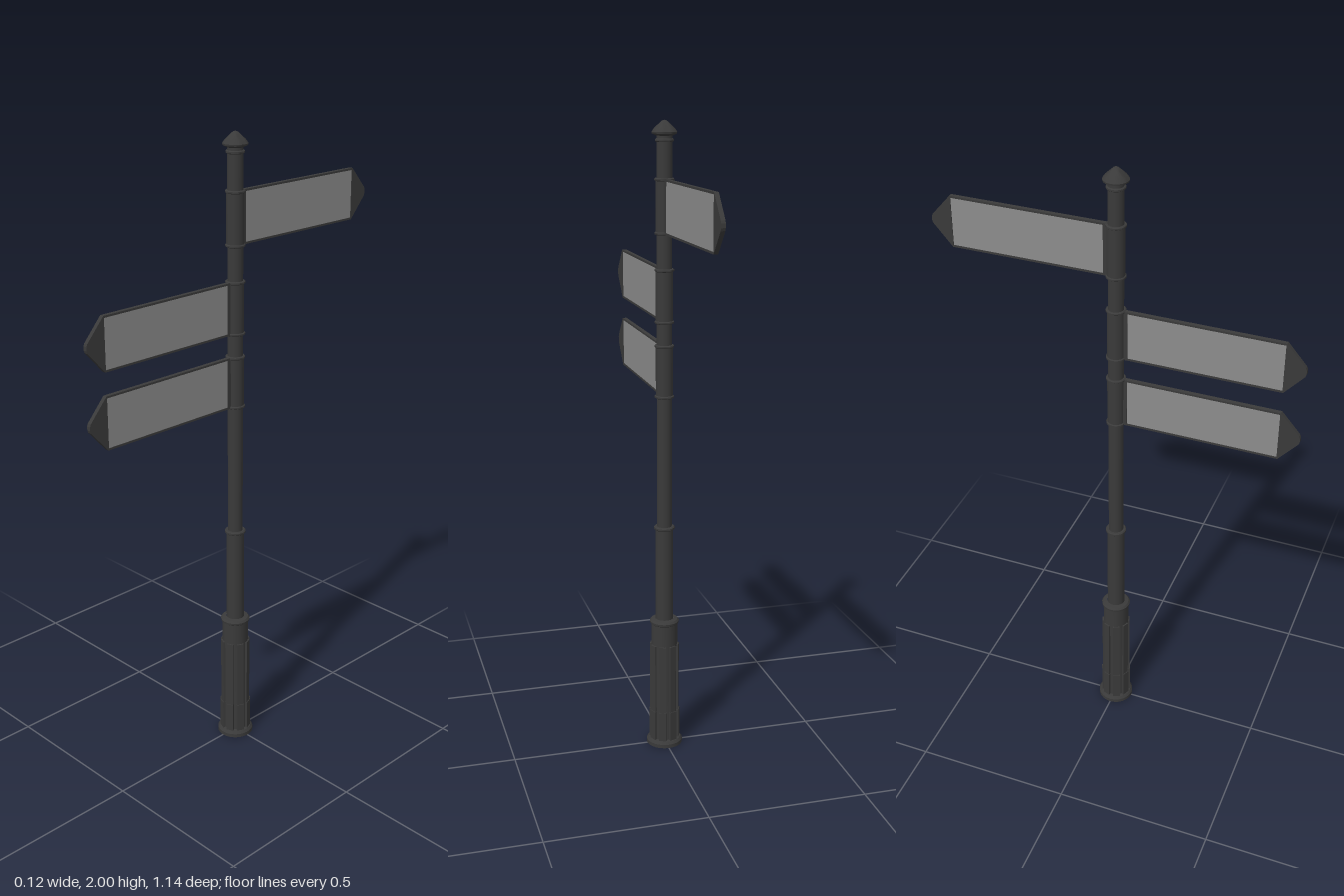
import * as THREE from 'three';
import { toCreasedNormals } from 'three/addons/utils/BufferGeometryUtils.js';

const dark = new THREE.MeshStandardMaterial({ color: 0x3a3a3a });
const grey = new THREE.MeshStandardMaterial({ color: 0x8c8c8c });

function add(parent, name, geometry, material = dark) {
  const mesh = new THREE.Mesh(geometry, material);
  mesh.name = name;
  parent.add(mesh);
  return mesh;
}

// Turned part from [radius, height] pairs, with sharp steps kept crisp
function turned(points) {
  const lathe = new THREE.LatheGeometry(points.map(([r, y]) => new THREE.Vector2(r, y)), 24);
  return toCreasedNormals(lathe, 0.6);
}

// Rounded ring around the pole
function collar(parent, y, r, h = 0.01) {
  const d = h / 2;
  const ring = add(parent, 'collar', turned([
    [0.01, -d], [r - 0.003, -d], [r, -d / 2], [r, d / 2], [r - 0.003, d], [0.01, d],
  ]));
  ring.position.y = y;
}

// Finger board pointing along +z, centred on its own origin
function sign(name, y, turn) {
  const group = new THREE.Group();
  group.name = name;
  const h = 0.081, rim = 0.006, z0 = 0.02, z1 = 0.508, tip = 0.57;

  // Frame and solid arrow tip; shape x runs along the board
  const outline = new THREE.Shape();
  outline.moveTo(z0, -h);
  outline.lineTo(z1, -h);
  outline.lineTo(tip - 0.003, -0.014);
  outline.lineTo(tip, -0.006);
  outline.lineTo(tip, 0.006);
  outline.lineTo(tip - 0.003, 0.014);
  outline.lineTo(z1, h);
  outline.lineTo(z0, h);
  outline.closePath();
  const hole = new THREE.Path();
  hole.moveTo(0.037, -h + rim);
  hole.lineTo(0.037, h - rim);
  hole.lineTo(z1 - 0.002, h - rim);
  hole.lineTo(z1 - 0.002, -h + rim);
  hole.closePath();
  outline.holes.push(hole);
  const frame = new THREE.ExtrudeGeometry(outline, { depth: 0.013, bevelEnabled: false });
  frame.translate(0, 0, -0.0065);
  frame.rotateY(-Math.PI / 2);
  add(group, 'signFrame', frame);

  const panel = add(group, 'signPanel', new THREE.BoxGeometry(0.009, 2 * (h - rim), 0.469), grey);
  panel.position.z = 0.2715;

  // Sleeve gripping the pole, with a collar at each end
  add(group, 'signSleeve', new THREE.CylinderGeometry(0.0265, 0.0265, 2 * h, 24));
  for (const s of [-1, 1]) collar(group, s * (h - 0.002), 0.03, 0.009);

  group.position.y = y;
  group.rotation.y = turn;
  return group;
}

export function createModel() {
  const model = new THREE.Group();
  model.name = 'signpost';

  // Foot, stepped base and shaft
  add(model, 'foot', turned([
    [0, 0], [0.058, 0], [0.058, 0.012], [0.052, 0.02], [0.042, 0.022], [0, 0.022],
  ]));
  add(model, 'base', turned([
    [0.042, 0.02], [0.042, 0.42], [0.046, 0.423], [0.047, 0.43], [0.042, 0.436], [0.029, 0.438],
  ]));
  add(model, 'lowerShaft', new THREE.CylinderGeometry(0.028, 0.028, 0.32, 24)).position.y = 0.59;
  collar(model, 0.745, 0.033, 0.011);
  add(model, 'upperShaft', new THREE.CylinderGeometry(0.0235, 0.0235, 1.22, 24)).position.y = 1.35;

  // Raised strips around the base, each with a thicker plinth
  for (let i = 0; i < 8; i++) {
    const strip = new THREE.Group();
    strip.name = 'baseStrip';
    add(strip, 'stripUpper', new THREE.BoxGeometry(0.022, 0.33, 0.012)).position.set(0, 0.185, 0.04);
    add(strip, 'stripPlinth', new THREE.BoxGeometry(0.024, 0.1, 0.012)).position.set(0, 0.07, 0.0425);
    strip.rotation.y = (i + 0.5) * Math.PI / 4;
    model.add(strip);
  }

  // Finial cap
  collar(model, 1.942, 0.028, 0.01);
  add(model, 'cap', turned([
    [0, 1.955], [0.025, 1.955], [0.037, 1.961], [0.038, 1.966], [0.031, 1.976],
    [0.015, 1.991], [0.007, 1.998], [0, 2],
  ]));

  // One board to the back, two to the front
  model.add(sign('upperSign', 1.75, Math.PI));
  model.add(sign('middleSign', 1.482, 0));
  model.add(sign('lowerSign', 1.25, 0));
  return model;
}
